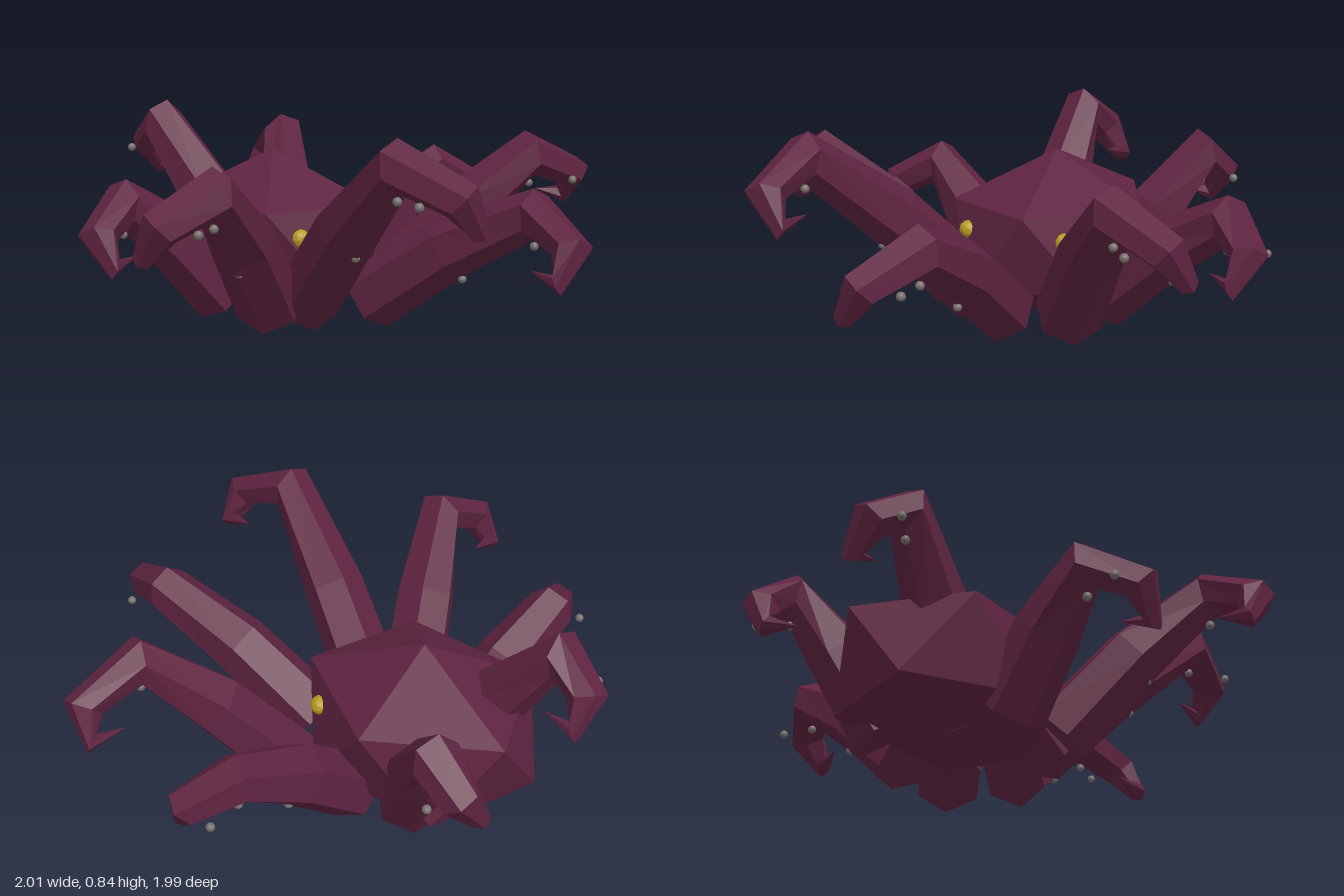
import * as THREE from 'three';
import { ConvexGeometry } from 'three/addons/geometries/ConvexGeometry.js';

const SIDES = 6;
const RADII = [0.125, 0.115, 0.088, 0.07, 0.038, 0.001];
const UP = new THREE.Vector3(0, 1, 0);

// Six-sided tapering tube through the given points, closed at the base
function taperedTube(path, radii) {
  const pos = [], index = [];
  const dir = path.slice(1).map((p, i) => p.clone().sub(path[i]).normalize());
  const tangents = path.map((p, i) =>
    dir[Math.max(i - 1, 0)].clone().add(dir[Math.min(i, dir.length - 1)]).normalize());
  const n = UP.clone().projectOnPlane(tangents[0]).normalize();
  path.forEach((p, i) => {
    if (i) n.applyQuaternion(new THREE.Quaternion().setFromUnitVectors(tangents[i - 1], tangents[i]));
    const b = tangents[i].clone().cross(n);
    for (let j = 0; j < SIDES; j++) {
      const a = (j / SIDES) * Math.PI * 2;
      const v = p.clone().addScaledVector(n, radii[i] * Math.cos(a)).addScaledVector(b, radii[i] * Math.sin(a));
      pos.push(v.x, v.y, v.z);
    }
  });
  for (let i = 0; i < path.length - 1; i++) {
    for (let j = 0; j < SIDES; j++) {
      const a = i * SIDES + j, b = i * SIDES + (j + 1) % SIDES;
      index.push(a, b, b + SIDES, a, b + SIDES, a + SIDES);
    }
  }
  for (let j = 1; j < SIDES - 1; j++) index.push(0, j + 1, j);
  const g = new THREE.BufferGeometry();
  g.setAttribute('position', new THREE.Float32BufferAttribute(pos, 3));
  g.setIndex(index);
  const flat = g.toNonIndexed();
  flat.computeVertexNormals();
  return flat;
}

// Plan positions (x, z) of base, knee and elbow, knee height, and the side the hook turns to
const TENTACLES = {
  leftFrontTentacle: { base: [0.31, 0.02], knee: [0.68, 0.37], elbow: [0.9, 0.42], height: 0.65, side: -1 },
  frontLeftTentacle: { base: [0.07, 0.09], knee: [0.18, 0.73], elbow: [0.1, 0.93], height: 0.53, side: 1 },
  frontRightTentacle: { base: [-0.13, -0.05], knee: [-0.41, 0.6], elbow: [-0.38, 0.83], height: 0.75, side: -1 },
  rightFrontTentacle: { base: [-0.26, -0.11], knee: [-0.75, 0.12], elbow: [-0.945, 0.08], height: 0.65, side: 1 },
  rightBackTentacle: { base: [-0.24, -0.37], knee: [-0.62, -0.485], elbow: [-0.785, -0.42], height: 0.53, side: -1 },
  backTentacle: { base: [-0.06, -0.38], knee: [-0.13, -0.81], elbow: [-0.09, -0.94], height: 0.75, side: 1 },
  backLeftTentacle: { base: [0.22, -0.46], knee: [0.46, -0.72], elbow: [0.485, -0.84], height: 0.65, side: -1 },
  leftBackTentacle: { base: [0.29, -0.25], knee: [0.82, -0.2], elbow: [0.945, -0.09], height: 0.53, side: 1 },
};

// Path of one tentacle with its hook, and the places of its suckers
function layOut({ base, knee, elbow, height, side }) {
  const at = ([x, z], y) => new THREE.Vector3(x, y, z);
  const b = at(base, 0.15), k = at(knee, height), e = at(elbow, height - 0.09);
  const ahead = e.clone().sub(k).setY(0).normalize();
  const across = new THREE.Vector3(-ahead.z, 0, ahead.x).multiplyScalar(side);
  const step = (from, forward, sideways, up) => from.clone()
    .addScaledVector(ahead, forward).addScaledVector(across, sideways).addScaledVector(UP, up);
  const mid = b.clone().lerp(k, 0.5).addScaledVector(UP, 0.035);
  const bend = step(e, 0.02, 0.07, -0.105);
  const tip = step(bend, -0.11, 0.03, 0.03);
  const suckers = [
    step(k.clone().lerp(e, 0.6), 0, -0.1, -0.05),
    step(k, 0, 0, -0.115),
    step(b.clone().lerp(k, 0.58), 0, 0, -0.105),
  ];
  return { path: [b, mid, k, e, bend, tip], suckers };
}

export function createModel() {
  const model = new THREE.Group();
  const material = (name, color) => {
    const m = new THREE.MeshStandardMaterial({ color, flatShading: true });
    m.name = name;
    return m;
  };
  const skin = material('plum skin', 0x5f2440);
  const yellow = material('yellow eye', 0xb89c22);
  const grey = material('grey sucker', 0x77706c);
  const add = (parent, name, geometry, mat) => {
    const mesh = new THREE.Mesh(geometry, mat);
    mesh.name = name;
    parent.add(mesh);
    return mesh;
  };

  // Body: stretched icosahedron standing on a corner
  const corners = [UP.clone().multiplyScalar(0.335), UP.clone().multiplyScalar(-0.335)];
  for (let i = 0; i < 5; i++) {
    const a = (i / 5) * Math.PI * 2;
    const corner = new THREE.Vector3(0.37 * Math.cos(a), 0.15, 0.44 * Math.sin(a));
    corners.push(corner, corner.clone().negate());
  }
  add(model, 'body', new ConvexGeometry(corners), skin).position.set(0.02, 0.335, -0.36);

  // Eyes
  const eyeShape = new THREE.IcosahedronGeometry(0.036, 1);
  add(model, 'rightEye', eyeShape, yellow).position.set(-0.17, 0.39, -0.04);
  add(model, 'leftEye', eyeShape, yellow).position.set(0.235, 0.39, -0.065);

  // Tentacles with hooked tips and suckers
  const suckerShape = new THREE.IcosahedronGeometry(0.016, 1);
  for (const [name, shape] of Object.entries(TENTACLES)) {
    const group = new THREE.Group();
    group.name = name;
    const { path, suckers } = layOut(shape);
    add(group, 'arm', taperedTube(path, RADII), skin);
    suckers.forEach((p) => add(group, 'sucker', suckerShape, grey).position.copy(p));
    model.add(group);
  }
  return model;
}
